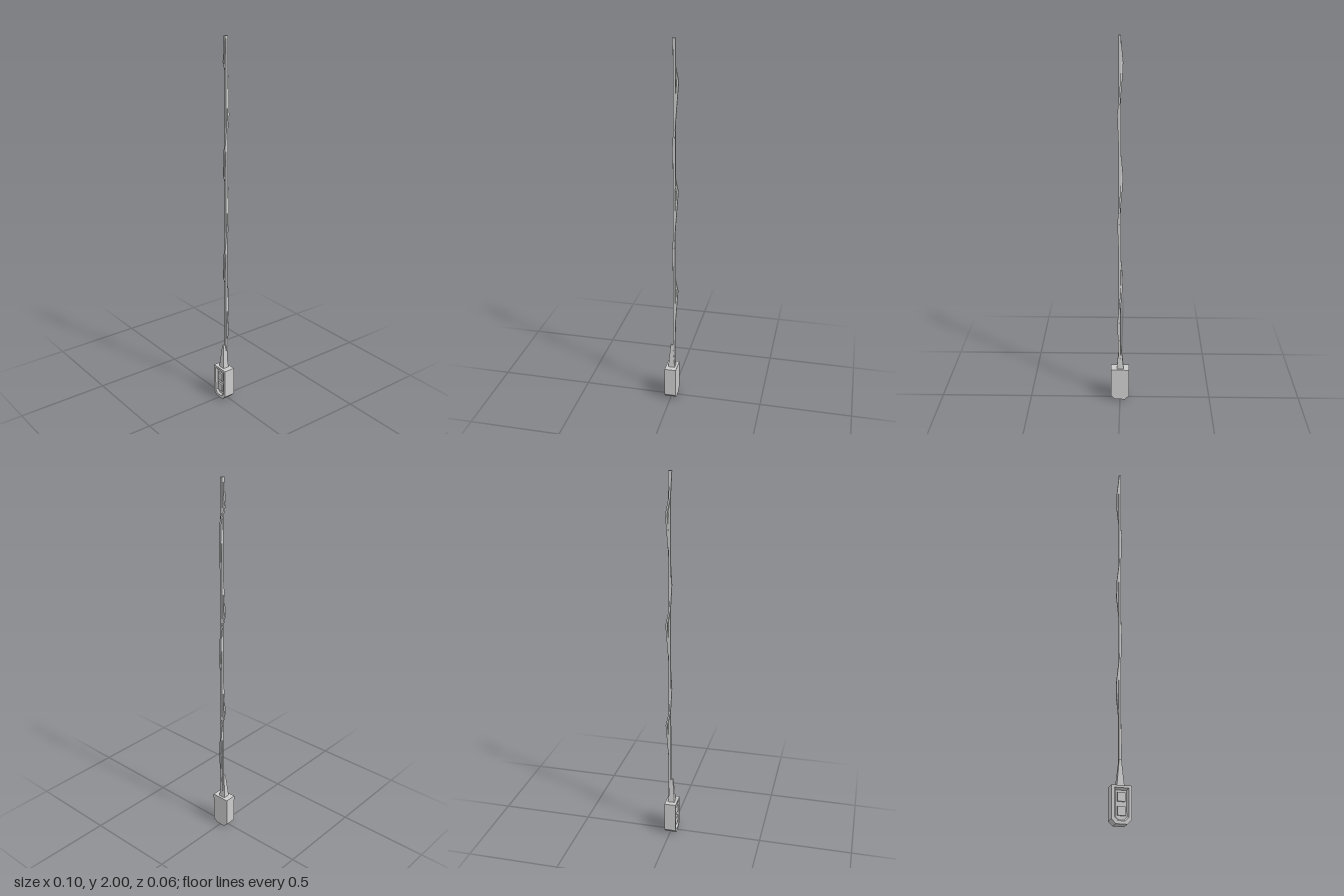
import * as THREE from 'three';

const material = new THREE.MeshStandardMaterial({ color: 0xcccccc, flatShading: true });

function addMesh(group, name, geometry) {
  const mesh = new THREE.Mesh(geometry, material);
  mesh.name = name;
  group.add(mesh);
  return mesh;
}

// Skins a series of equal-sized rings and caps both ends.
function loft(rings) {
  const n = rings[0].length, last = rings.length - 1;
  const index = [];
  for (let r = 0; r < last; r++) {
    for (let i = 0; i < n; i++) {
      const a = r * n + i, b = r * n + (i + 1) % n;
      index.push(a, b, b + n, a, b + n, a + n);
    }
  }
  for (let i = 1; i < n - 1; i++) {
    index.push(0, i + 1, i);
    index.push(last * n, last * n + i, last * n + i + 1);
  }
  const g = new THREE.BufferGeometry();
  g.setAttribute('position', new THREE.Float32BufferAttribute(rings.flat(2), 3));
  g.setIndex(index);
  const flat = g.toNonIndexed();
  flat.computeVertexNormals();
  return flat;
}

// Housing outline with chamfered lower corners, facing +z.
const outline = (w, y0, y1, cut, z) => [
  [-w + cut, y0, z], [w - cut, y0, z], [w, y0 + cut, z],
  [w, y1, z], [-w, y1, z], [-w, y0 + cut, z],
];

// Horizontal four-sided section of a cable or sleeve.
const section = (x, y, z, hx, hz = hx) => [
  [x + hx, y, z + hz], [x + hx, y, z - hz], [x - hx, y, z - hz], [x - hx, y, z + hz],
];

export function createModel() {
  const model = new THREE.Group();
  model.name = 'pendantControl';

  // Housing with a sloped recess in its front face
  addMesh(model, 'housing', loft([
    outline(0.05, 0, 0.185, 0.022, -0.03),
    outline(0.05, 0, 0.185, 0.022, 0.033),
    outline(0.035, 0.015, 0.173, 0.017, 0.033),
    outline(0.028, 0.022, 0.163, 0.014, 0.021),
  ]));

  // Two push buttons in the recess
  for (const [name, y] of [['upperButton', 0.13], ['lowerButton', 0.063]]) {
    addMesh(model, name, new THREE.BoxGeometry(0.038, 0.044, 0.012)).position.set(0, y, 0.024);
  }

  // Tapered strain relief
  addMesh(model, 'strainRelief', loft([
    section(-0.001, 0.184, 0.001, 0.019, 0.018),
    section(0, 0.32, 0.002, 0.006),
  ]));

  // Straight support cable
  addMesh(model, 'supportCable', loft([
    section(0.002, 0.184, -0.011, 0.006),
    section(0.002, 2, -0.011, 0.006),
  ]));

  // Cord wound loosely around the support cable
  const turn = [[0.47, 0.009, -0.016], [0.65, -0.007, -0.026], [0.73, -0.011, -0.008], [0.86, 0.002, -0.004]];
  const cord = [section(0.002, 0.184, -0.011, 0.005)];
  for (let t = 0; t < 3; t++) {
    for (const [y, x, z] of turn) {
      const h = y + t * 0.57;
      cord.push(section(x, Math.min(h, 2), z, 0.005));
    }
  }
  addMesh(model, 'woundCord', loft(cord));

  return model;
}
